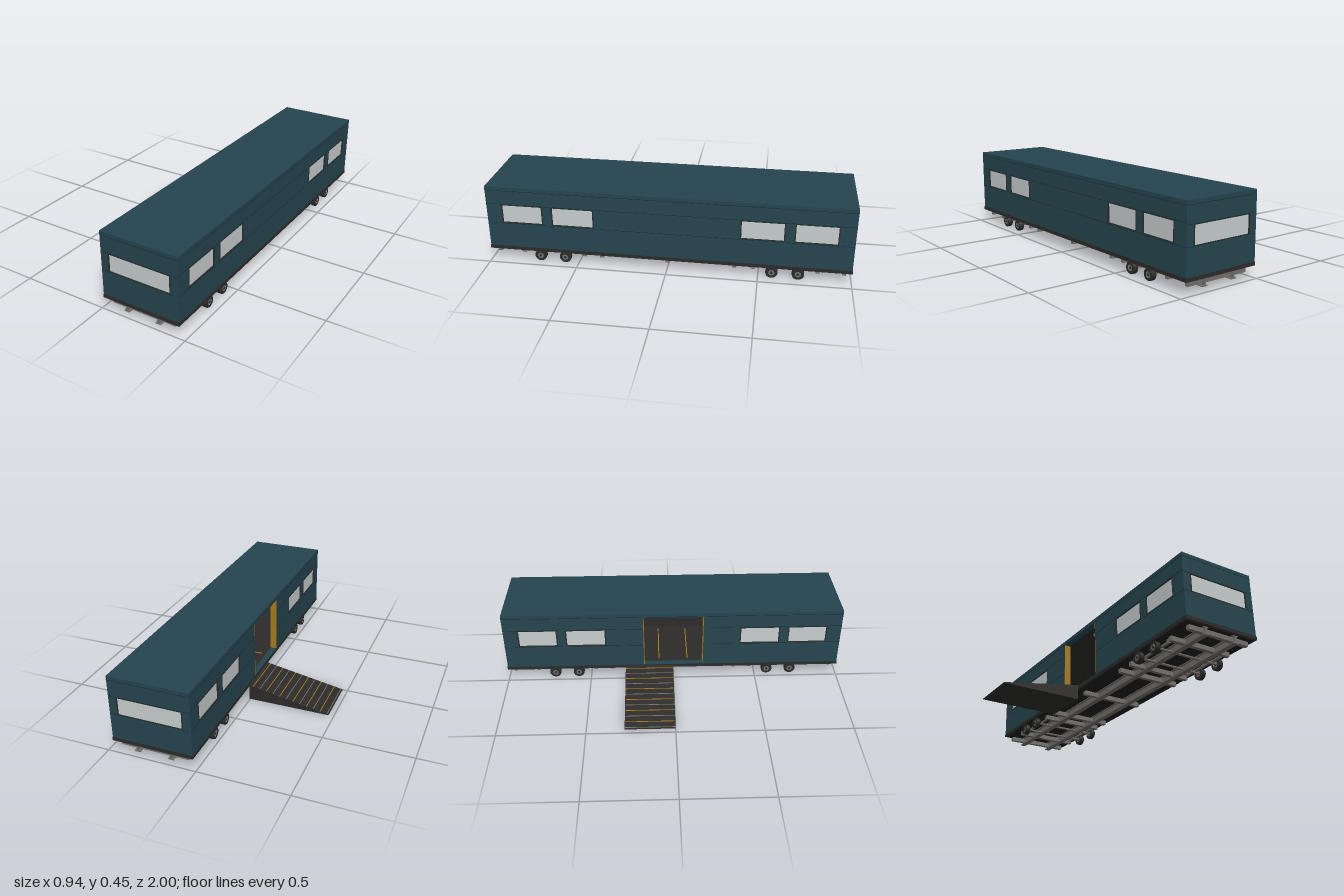
import * as THREE from 'three';

const mat = (name, color) => {
  const m = new THREE.MeshStandardMaterial({ color });
  m.name = name;
  return m;
};

export function createModel() {
  const teal = mat('teal paint', 0x25454f);
  const seam = mat('seam line', 0x12252b);
  const dark = mat('dark trim', 0x2c2b2a);
  const glass = mat('window glass', 0xc6cccd);
  const steel = mat('chassis steel', 0x72706c);
  const under = mat('underbody', 0x201f1f);
  const yellow = mat('safety yellow', 0xa87a18);

  const root = new THREE.Group();
  root.name = 'trailerWithRamp';
  const group = (name, parent = root) => {
    const g = new THREE.Group();
    g.name = name;
    parent.add(g);
    return g;
  };
  const add = (parent, name, geo, m, x = 0, y = 0, z = 0) => {
    const mesh = new THREE.Mesh(geo, m);
    mesh.name = name;
    mesh.position.set(x, y, z);
    parent.add(mesh);
    return mesh;
  };
  // box given by its limits on each axis
  const box = (parent, name, m, [x0, x1], [y0, y1], [z0, z1]) =>
    add(parent, name, new THREE.BoxGeometry(x1 - x0, y1 - y0, z1 - z0), m,
      (x0 + x1) / 2, (y0 + y1) / 2, (z0 + z1) / 2);

  const CX = 0.24, HW = 0.226, HL = 0.997, T = 0.034;
  const FLOOR = 0.09, EAVE = 0.43, ROOF = 0.452;
  const DOOR = [-0.175, 0.18, FLOOR + 0.003, 0.425];

  // wall panel in its own plane: outer face at local z = 0, u along x
  const panel = (half, holes, depth) => {
    const s = new THREE.Shape();
    s.moveTo(-half, FLOOR).lineTo(half, FLOOR).lineTo(half, EAVE).lineTo(-half, EAVE).closePath();
    for (const [a, b, c, d] of holes) {
      const h = new THREE.Path();
      h.moveTo(a, c).lineTo(a, d).lineTo(b, d).lineTo(b, c).closePath();
      s.holes.push(h);
    }
    const g = new THREE.ExtrudeGeometry(s, { depth, bevelEnabled: false });
    g.translate(0, 0, -depth);
    return g;
  };

  const wall = (name, x, z, turn, half, windows, door, bandTop) => {
    const g = group(name);
    g.position.set(x, 0, z);
    g.rotation.y = turn;
    const doors = door ? [door] : [];
    add(g, 'wallPanel', panel(half, [...windows, ...doors], T), teal);
    add(g, 'innerLining', panel(half - T, doors, 0.004), dark, 0, 0, -T);
    for (const [a, b, c, d] of windows) {
      box(g, 'windowGlass', glass, [a, b], [c, d], [-0.012, -0.004]);
      for (const u of [a, b])
        box(g, 'windowSideFrame', dark, [u - 0.003, u + 0.003], [c - 0.002, d + 0.002], [-0.005, 0.002]);
      for (const v of [c, d])
        box(g, 'windowRail', dark, [a, b], [v - 0.0015, v + 0.0015], [-0.005, 0.002]);
    }
    // horizontal panel seams, broken at the doorway
    for (const y of [0.234, bandTop, EAVE]) {
      const spans = door && y < EAVE ? [[-half, door[0]], [door[1], half]] : [[-half, half]];
      for (const s of spans) box(g, 'panelSeam', seam, s, [y - 0.001, y + 0.001], [-0.002, 0.0008]);
    }
    return g;
  };

  // body shell
  const sideWindows = [];
  for (const [a, b] of [[0.4, 0.63], [0.685, 0.91]])
    sideWindows.push([a, b, 0.24, 0.345], [-b, -a, 0.24, 0.345]);
  const endWindow = [[-0.18, 0.18, 0.236, 0.336]];
  wall('leftWall', CX + HW, 0, Math.PI / 2, HL, sideWindows, null, 0.349);
  const doorWall = wall('rightWall', CX - HW, 0, -Math.PI / 2, HL, sideWindows, DOOR, 0.349);
  wall('frontWall', CX, HL, 0, HW - 0.001, endWindow, null, 0.339);
  wall('backWall', CX, -HL, Math.PI, HW - 0.001, endWindow, null, 0.339);
  box(root, 'roof', teal, [CX - HW, CX + HW], [EAVE, ROOF], [-HL, HL]);
  box(root, 'ceiling', dark, [CX - HW + T, CX + HW - T], [EAVE - 0.005, EAVE], [-HL + T, HL - T]);

  // doorway: yellow jambs, head brackets, floor stripes
  box(doorWall, 'doorJamb', yellow, [DOOR[1] - 0.004, DOOR[1]], [DOOR[2], DOOR[3]], [-T - 0.004, 0]);
  box(doorWall, 'doorJamb', yellow, [DOOR[0], DOOR[0] + 0.004], [DOOR[2], DOOR[3]], [-T - 0.004, 0]);
  for (const u of [0.05, 0.11])
    box(doorWall, 'headBracket', steel, [u, u + 0.03], [0.408, 0.425], [-0.09, -0.07]);
  for (const z of [-0.085, 0.088])
    box(root, 'floorStripe', yellow, [0.075, 0.4], [FLOOR, FLOOR + 0.003], [z - 0.003, z + 0.003]);

  // floor frame
  box(root, 'floorFrame', dark, [CX - HW - 0.001, CX + HW + 0.002], [0.07, FLOOR], [-1, 1]);
  box(root, 'underPlate', under, [CX - HW + 0.005, CX + HW - 0.005], [0.067, 0.07], [-0.99, 0.99]);

  // I-beam pieces: web and two flanges, running along z
  const chassis = group('chassis');
  for (const x of [CX - 0.095, CX + 0.095]) {
    box(chassis, 'railWeb', steel, [x - 0.005, x + 0.005], [0.026, 0.067], [-0.985, 0.985]);
    box(chassis, 'railTopFlange', steel, [x - 0.016, x + 0.016], [0.062, 0.067], [-0.985, 0.985]);
    box(chassis, 'railBottomFlange', steel, [x - 0.016, x + 0.016], [0.023, 0.028], [-0.985, 0.985]);
  }
  for (const z of [-0.96, -0.82, -0.47, -0.37, 0, 0.37, 0.47, 0.82, 0.96])
    box(chassis, 'crossMember', steel, [CX - 0.19, CX + 0.19], [0.036, 0.062], [z - 0.011, z + 0.011]);

  // wheels, axles and spring hangers
  const R = 0.033;
  const tyreProfile = [[0.017, -0.013], [0.03, -0.015], [R, -0.011], [R, 0.011], [0.03, 0.015], [0.017, 0.013]]
    .map(([r, y]) => new THREE.Vector2(r, y));
  const tyreGeo = new THREE.LatheGeometry(tyreProfile, 28).rotateZ(Math.PI / 2);
  const rimGeo = new THREE.CylinderGeometry(0.018, 0.018, 0.022, 20).rotateZ(Math.PI / 2);
  const hubGeo = new THREE.CylinderGeometry(0.007, 0.007, 0.03, 12).rotateZ(Math.PI / 2);
  const axleGeo = new THREE.CylinderGeometry(0.007, 0.007, 0.4, 12).rotateZ(Math.PI / 2);
  for (const end of [-1, 1]) {
    const bogie = group('bogie');
    for (const z of [0.573, 0.715]) {
      add(bogie, 'axle', axleGeo, steel, CX, 0.04, end * z);
      for (const side of [-1, 1]) {
        const wheel = group('wheel', bogie);
        wheel.position.set(CX + side * 0.206, 0.038, end * z);
        add(wheel, 'tyre', tyreGeo, dark);
        add(wheel, 'rim', rimGeo, steel);
        add(wheel, 'hub', hubGeo, dark);
      }
    }
    for (const side of [-1, 1]) {
      const x = CX + side * 0.168;
      box(bogie, 'springBeam', steel, [x - 0.007, x + 0.007], [0.044, 0.054],
        end > 0 ? [0.5, 0.79] : [-0.79, -0.5]);
      for (const z of [0.51, 0.644, 0.78])
        box(bogie, 'springHanger', steel, [x - 0.006, x + 0.006], [0.05, 0.068], [end * z - 0.008, end * z + 0.008]);
    }
  }

  // loading ramp: wedge with tread strips lying on the slope
  const ramp = group('ramp');
  const X0 = -0.47, X1 = 0.005, Y0 = 0.003, Y1 = 0.089, DEPTH = 0.286;
  const wedge = new THREE.Shape();
  wedge.moveTo(X0, 0).lineTo(X1, 0).lineTo(X1, Y1).lineTo(X0, Y0).closePath();
  add(ramp, 'rampWedge', new THREE.ExtrudeGeometry(wedge, { depth: DEPTH, bevelEnabled: false }), dark, 0, 0, -DEPTH);
  const slope = (Y1 - Y0) / (X1 - X0);
  const stripGeo = new THREE.BoxGeometry(0.0045, 0.002, DEPTH - 0.004);
  for (let i = 0; i < 12; i++) {
    const x = -0.46 + i * 0.0403;
    const strip = add(ramp, 'treadStrip', stripGeo, i % 2 ? yellow : steel, x, Y0 + (x - X0) * slope, -DEPTH / 2);
    strip.rotation.z = Math.atan(slope);
  }
  return root;
}
